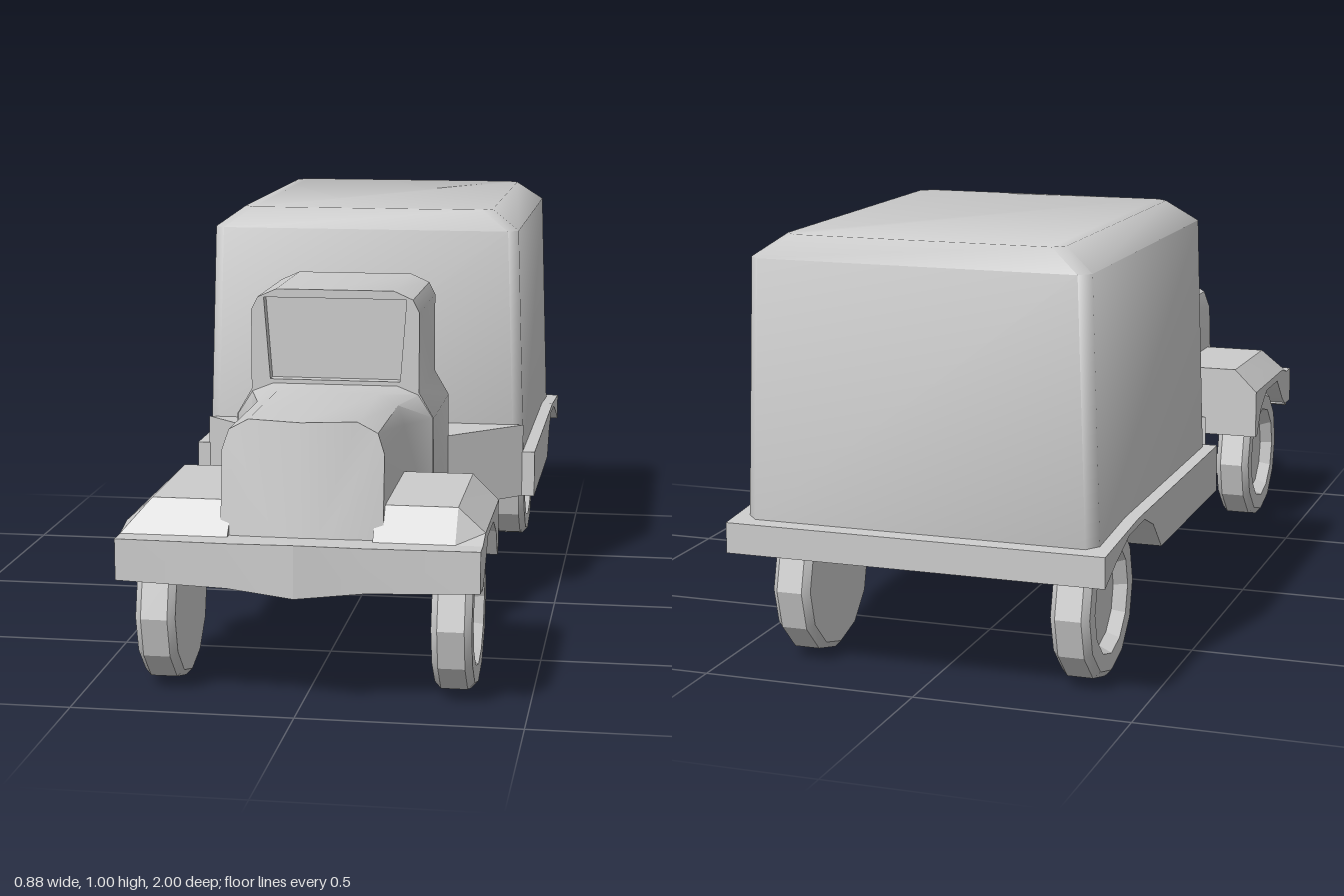
import * as THREE from 'three';
import { toCreasedNormals } from 'three/addons/utils/BufferGeometryUtils.js';

const material = new THREE.MeshStandardMaterial({ color: 0xcccccc });

function addMesh(parent, name, geometry, crease = 0.6) {
  const mesh = new THREE.Mesh(toCreasedNormals(geometry, crease), material);
  mesh.name = name;
  parent.add(mesh);
  return mesh;
}

// Skin closed rings of points; rings run counter-clockwise seen from the far end
function loft(rings) {
  const n = rings[0].length, index = [];
  for (let r = 0; r < rings.length - 1; r++) {
    for (let j = 0; j < n; j++) {
      const k = (j + 1) % n;
      const a = r * n + j, b = r * n + k, c = b + n, d = a + n;
      index.push(a, b, c, a, c, d);
    }
  }
  const end = (rings.length - 1) * n;
  for (let j = 1; j < n - 1; j++) {
    index.push(0, j + 1, j, end, end + j, end + j + 1);
  }
  const geometry = new THREE.BufferGeometry();
  geometry.setAttribute('position', new THREE.Float32BufferAttribute(rings.flat(2), 3));
  geometry.setIndex(index);
  return geometry;
}

// Symmetric upright section from half-outline points listed bottom to top
function section(half, z) {
  const depth = typeof z === 'function' ? z : () => z;
  const pts = [
    [0, half[0][1]], ...half, [0, half[half.length - 1][1]],
    ...half.map(([x, y]) => [-x, y]).reverse(),
  ];
  return pts.map(([x, y]) => [x, y, depth(x, y)]);
}

const toShape = (pts) => new THREE.Shape(pts.map(([x, y]) => new THREE.Vector2(x, y)));

// Extrude a side outline of [z, y] points across x0..x1
function extrudeAcross(pts, x0, x1, steps = 1) {
  const geometry = new THREE.ExtrudeGeometry(toShape(pts), { depth: x1 - x0, steps, bevelEnabled: false });
  return geometry.rotateY(-Math.PI / 2).translate(x1, 0, 0);
}

// Rectangle with small cut corners, lying at height y
function cargoRing(y, hx, zBack, zFront, c = 0.025) {
  return [
    [-hx + c, y, zFront], [hx - c, y, zFront], [hx, y, zFront - c], [hx, y, zBack + c],
    [hx - c, y, zBack], [-hx + c, y, zBack], [-hx, y, zBack + c], [-hx, y, zFront - c],
  ];
}

function wheelGeometry(side) {
  const profile = [
    [0, 0], [0.165, 0], [0.181, 0.015], [0.181, 0.075],
    [0.165, 0.09], [0.125, 0.09], [0.11, 0.06], [0, 0.06],
  ].map(([r, h]) => new THREE.Vector2(r, h));
  return new THREE.LatheGeometry(profile, 12).rotateZ(-side * Math.PI / 2);
}

export function createModel() {
  const truck = new THREE.Group();
  truck.name = 'truck';

  // Covered cargo box
  addMesh(truck, 'cargoBox', loft([
    cargoRing(0.36, 0.41, -0.965, -0.05),
    cargoRing(0.95, 0.39, -0.96, -0.05),
    cargoRing(1.0, 0.32, -0.92, -0.09),
  ]), 1.0);

  // Bed with wheel arches, and the underbody between the rear wheels
  addMesh(truck, 'bed', extrudeAcross([
    [-0.05, 0.27], [-0.05, 0.385], [-0.75, 0.38], [-1, 0.36], [-1, 0.29],
    [-0.92, 0.325], [-0.82, 0.36], [-0.70, 0.365], [-0.63, 0.335], [-0.56, 0.265],
  ], -0.44, 0.44), 0.4);
  addMesh(truck, 'rearUnderbody', extrudeAcross([
    [-0.06, 0.27], [-0.06, 0.37], [-0.98, 0.35], [-0.98, 0.295], [-0.56, 0.262],
  ], -0.27, 0.27), 0.4);

  // Flared frame joining cab and bed
  addMesh(truck, 'frameFlare', loft([
    section([[0.41, 0.27], [0.41, 0.455]], -0.052),
    section([[0.235, 0.27], [0.235, 0.455]], 0.115),
  ]));

  // Cab
  const cabHalf = [
    [0.235, 0.27], [0.235, 0.56], [0.20, 0.62], [0.20, 0.81], [0.185, 0.84], [0.14, 0.86],
  ];
  addMesh(truck, 'cab', loft([section(cabHalf, 0.11), section(cabHalf, 0.40)]));

  // Windshield surround with a recessed pane behind it
  const frame = toShape(section(cabHalf, 0));
  frame.holes.push(new THREE.Path([
    [-0.155, 0.645], [0.155, 0.645], [0.17, 0.84], [-0.17, 0.84],
  ].map(([x, y]) => new THREE.Vector2(x, y))));
  addMesh(truck, 'windshieldFrame', new THREE.ExtrudeGeometry(frame, { depth: 0.03, bevelEnabled: false })
    .translate(0, 0, 0.40));

  // Hood narrowing forward to a pointed, leaning nose
  const hoodHalf = [[0.18, 0.27], [0.18, 0.565], [0.165, 0.61], [0.12, 0.635]];
  const noseDepth = (x, y) => 0.95 - 0.04 * Math.abs(x) / 0.18 - 0.05 * (Math.max(y, 0.38) - 0.38) / 0.255;
  addMesh(truck, 'hood', loft([
    section([[0.235, 0.27], [0.235, 0.56], [0.20, 0.615], [0.15, 0.635]], 0.425),
    section(hoodHalf, 0.54),
    section(hoodHalf, noseDepth),
  ]));

  // Front bumper, slightly pointed at the middle
  const bumperRing = (x, front, back, low, high) => [
    [x, low, back], [x, high, back], [x, high, front], [x, low, front],
  ];
  addMesh(truck, 'bumper', loft([
    bumperRing(-0.4, 0.97, 0.9, 0.287, 0.38),
    bumperRing(-0.15, 0.977, 0.9, 0.28, 0.38),
    bumperRing(0, 1.0, 0.9, 0.268, 0.387),
    bumperRing(0.15, 0.977, 0.9, 0.28, 0.38),
    bumperRing(0.4, 0.97, 0.9, 0.287, 0.38),
  ]), 0.3);

  for (const side of [1, -1]) {
    const label = side > 0 ? 'left' : 'right';

    // Fender: flat on top, dropping away at the outer edge
    const xs = [side * 0.16, side * 0.4].sort((a, b) => a - b);
    const fender = extrudeAcross([
      [0.54, 0.27], [0.54, 0.455], [0.86, 0.45], [0.92, 0.38], [0.92, 0.28], [0.87, 0.31],
      [0.80, 0.375], [0.67, 0.375], [0.60, 0.335], [0.56, 0.27],
    ], xs[0], xs[1], 2);
    const p = fender.attributes.position;
    for (let i = 0; i < p.count; i++) {
      const x = Math.abs(p.getX(i));
      if (x > 0.2 && x < 0.39) p.setX(i, side * 0.34);
      else if (x >= 0.39) p.setY(i, Math.min(p.getY(i), 0.395));
    }
    addMesh(truck, label + 'Fender', fender, 0.4);

    // Running board hung below the cab
    const board = toShape([
      [0.145, 0.272], [0.235, 0.272], [0.22, 0.243], [0.305, 0.229],
      [0.305, 0.207], [0.22, 0.222], [0.145, 0.21],
    ].map(([x, y]) => [side * x, y]));
    addMesh(truck, label + 'RunningBoard', new THREE.ExtrudeGeometry(board, { depth: 0.325, bevelEnabled: false })
      .translate(0, 0, 0.107));

    // Wheels with dished hubs
    for (const [end, z] of [['Front', 0.73], ['Rear', -0.735]]) {
      const wheel = addMesh(truck, label + end + 'Wheel', wheelGeometry(side), 0.4);
      wheel.position.set(side * 0.285, 0.183, z);
    }
  }
  return truck;
}
